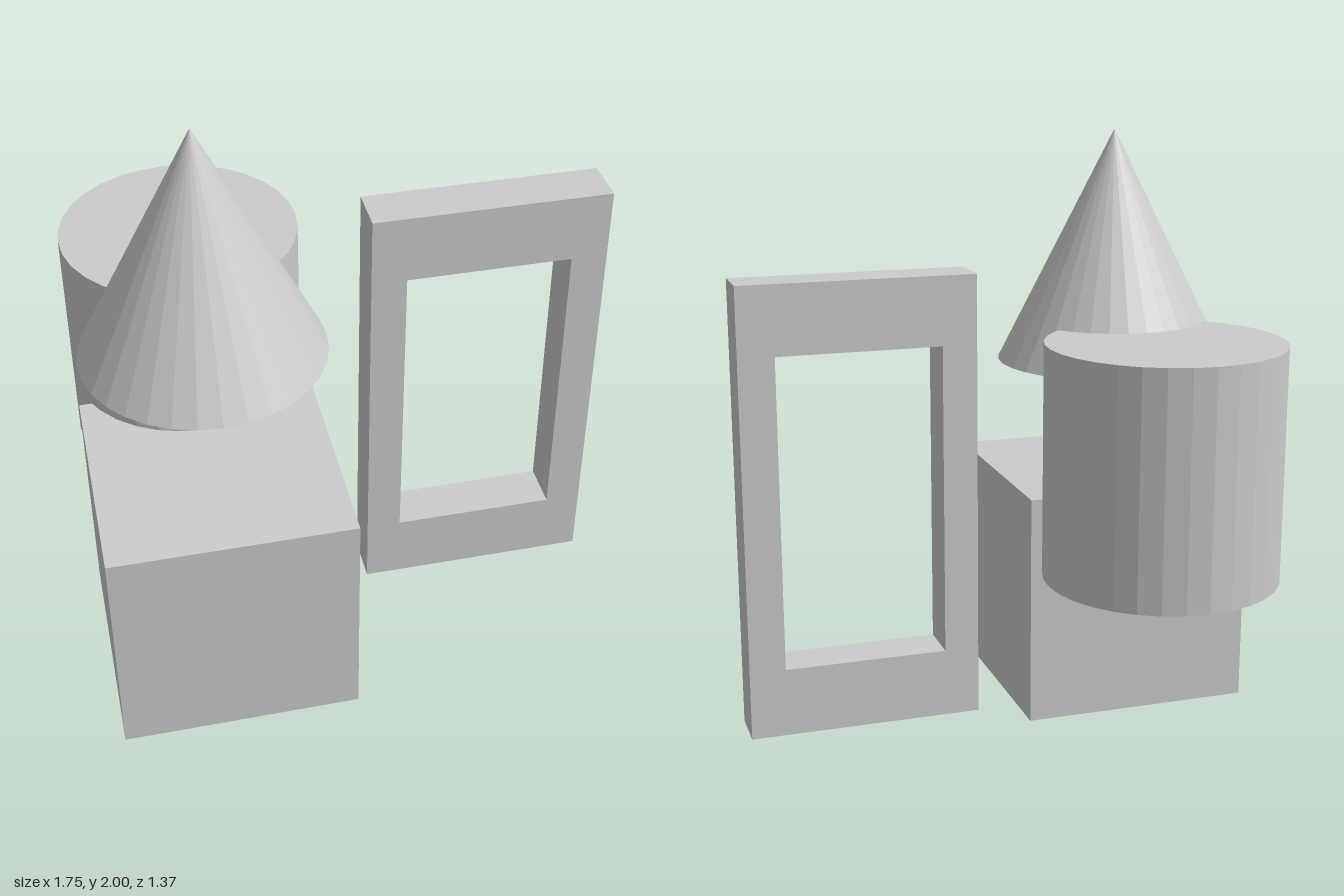
import * as THREE from 'three';

export function createModel() {
  const model = new THREE.Group();
  const grey = new THREE.MeshStandardMaterial({ color: 0xcccccc, flatShading: true });
  grey.name = 'plain grey';

  const add = (name, geometry, x, y, z) => {
    const mesh = new THREE.Mesh(geometry, grey);
    mesh.name = name;
    mesh.position.set(x, y, z);
    model.add(mesh);
  };

  const size = 0.795;
  const radius = size / 2;
  const sides = 32;

  // Three solids on the right
  add('cube', new THREE.BoxGeometry(size, 0.8, size), -0.478, 0.4, 0.288);
  add('cylinder', new THREE.CylinderGeometry(radius, radius, size, sides), -0.478, 0.953, -0.288);
  add('cone', new THREE.ConeGeometry(radius, size, sides), -0.478, 1.6025, 0.195);

  // Upright rectangular frame with an open centre
  const rectangle = (path, x0, y0, x1, y1) =>
    path.moveTo(x0, y0).lineTo(x1, y0).lineTo(x1, y1).lineTo(x0, y1).closePath();
  const outline = rectangle(new THREE.Shape(), 0.08, 0.025, 0.873, 1.56);
  outline.holes.push(rectangle(new THREE.Path(), 0.198, 0.26, 0.752, 1.326));
  add('frame', new THREE.ExtrudeGeometry(outline, { depth: 0.16, bevelEnabled: false }), 0, 0, -0.019);

  return model;
}
